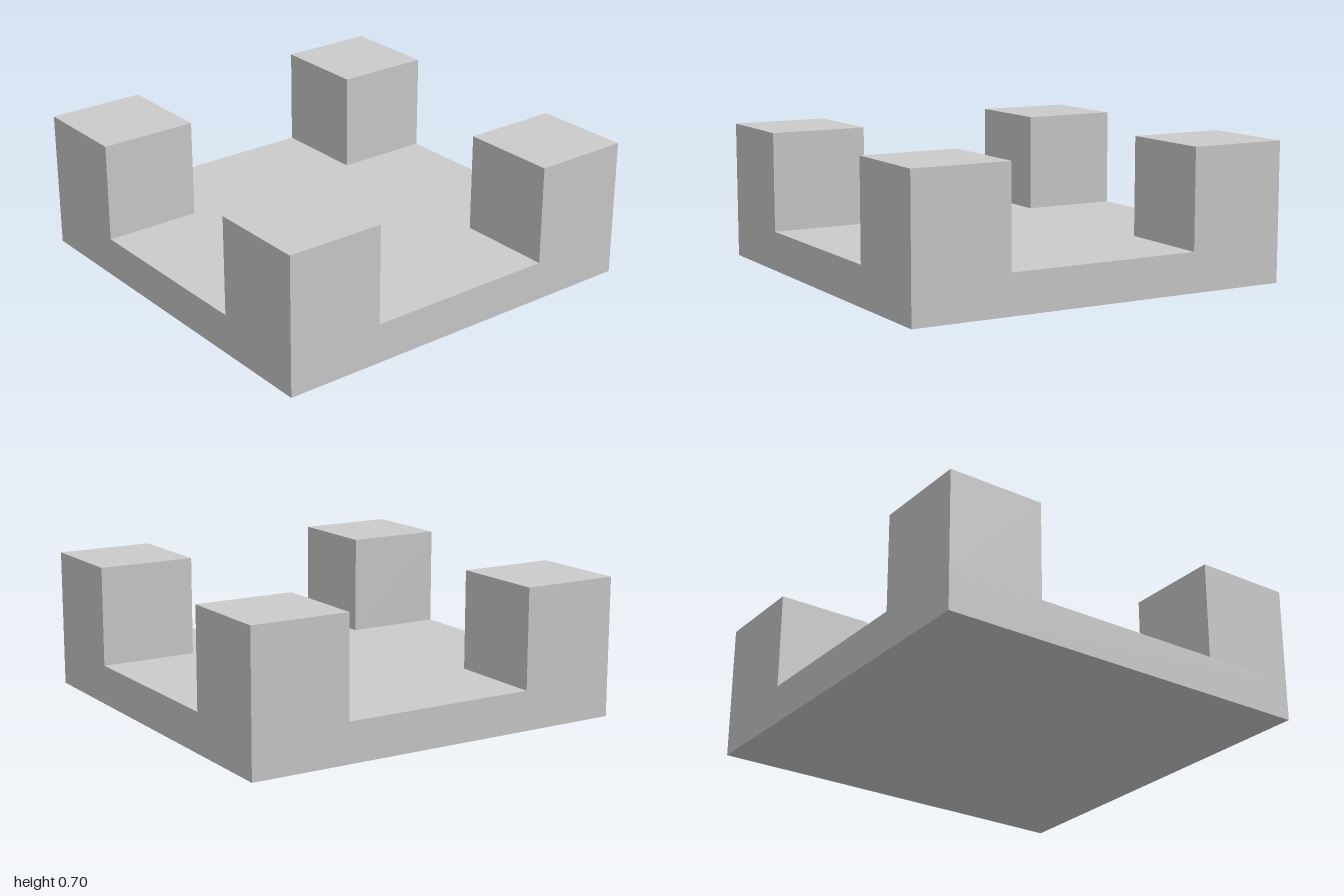
import * as THREE from 'three';

const SIZE = 2;      // side of the square slab
const SLAB = 0.2;    // slab thickness
const BLOCK = 0.5;   // side of each corner cube

export function createModel() {
  const model = new THREE.Group();
  model.name = 'slabWithCornerBlocks';
  const material = new THREE.MeshStandardMaterial({ color: 0xcccccc, flatShading: true });

  // Square base slab
  const slab = new THREE.Mesh(new THREE.BoxGeometry(SIZE, SLAB, SIZE), material);
  slab.name = 'baseSlab';
  slab.position.y = SLAB / 2;
  model.add(slab);

  // One cube on each corner, flush with the slab's sides
  const blockGeometry = new THREE.BoxGeometry(BLOCK, BLOCK, BLOCK);
  const offset = (SIZE - BLOCK) / 2;
  for (const [zName, z] of [['front', 1], ['back', -1]]) {
    for (const [xName, x] of [['Left', 1], ['Right', -1]]) {
      const block = new THREE.Mesh(blockGeometry, material);
      block.name = `${zName}${xName}CornerBlock`;
      block.position.set(x * offset, SLAB + BLOCK / 2, z * offset);
      model.add(block);
    }
  }
  return model;
}
